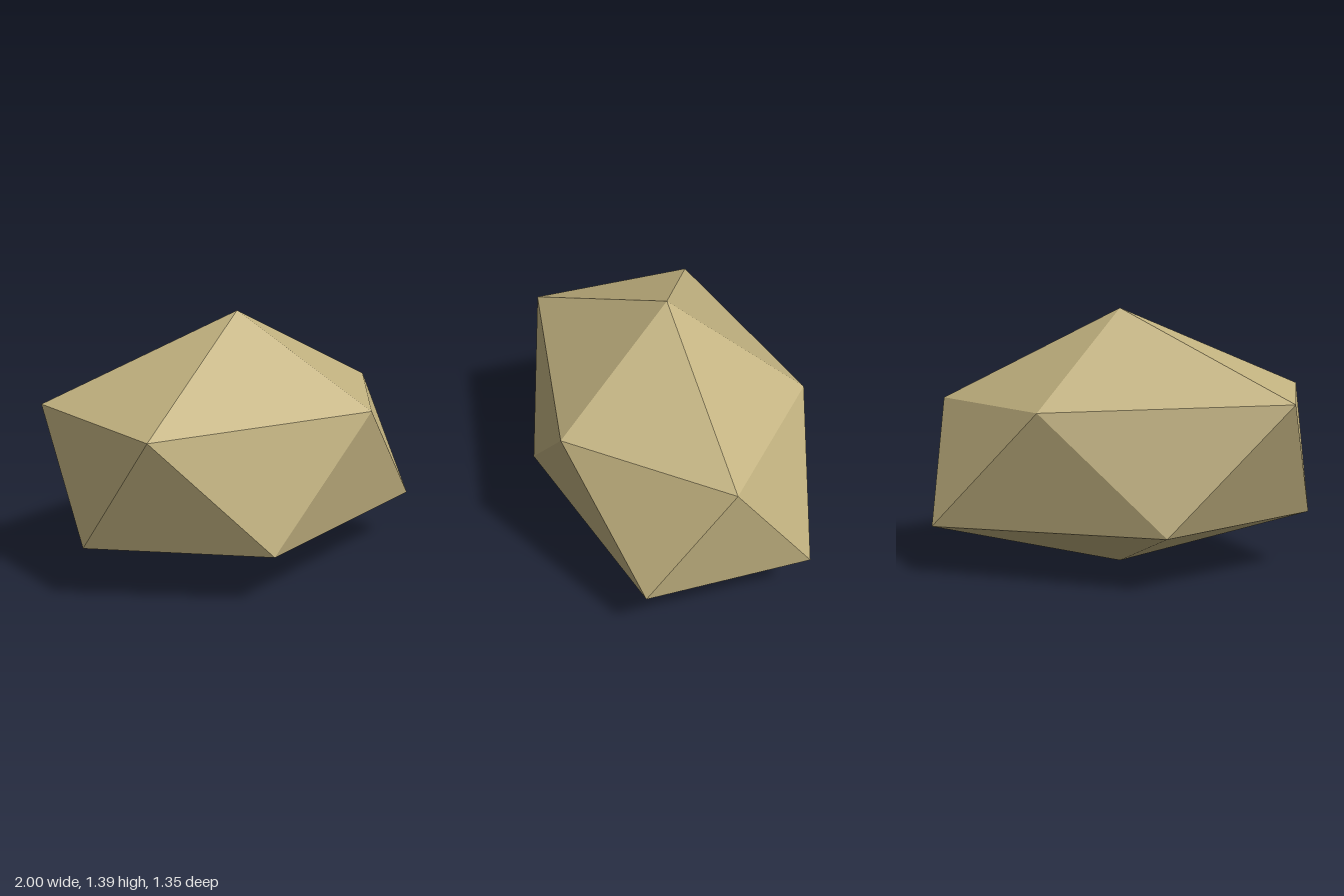
import * as THREE from 'three';

// Low-poly boulder: a stretched, slightly uneven icosahedron
export function createModel() {
  const group = new THREE.Group();
  group.name = 'boulder';
  const sand = new THREE.MeshStandardMaterial({ color: 0xc2b280, flatShading: true });
  sand.name = 'sand';

  // Two poles and two staggered rings of five corners, running from +x towards +z
  const top = [0.02, 1.39, -0.01];
  const bottom = [0.02, 0, -0.01];
  const upper = [[1, 0.89, -0.01], [0.35, 0.92, 0.67], [-0.92, 0.95, 0.44], [-0.92, 0.95, -0.47], [0.34, 0.91, -0.66]];
  const lower = [[0.93, 0.28, 0.43], [-0.32, 0.29, 0.67], [-1, 0.31, -0.01], [-0.31, 0.3, -0.68], [0.95, 0.27, -0.46]];

  // Cap, zigzag band and base facets
  const corners = [];
  for (let i = 0; i < 5; i++) {
    const j = (i + 1) % 5;
    corners.push(top, upper[j], upper[i]);
    corners.push(upper[i], upper[j], lower[i]);
    corners.push(lower[i], upper[j], lower[j]);
    corners.push(bottom, lower[i], lower[j]);
  }

  const geometry = new THREE.BufferGeometry();
  geometry.setAttribute('position', new THREE.Float32BufferAttribute(corners.flat(), 3));
  geometry.computeVertexNormals();
  const rock = new THREE.Mesh(geometry, sand);
  rock.name = 'rock';
  group.add(rock);
  return group;
}
